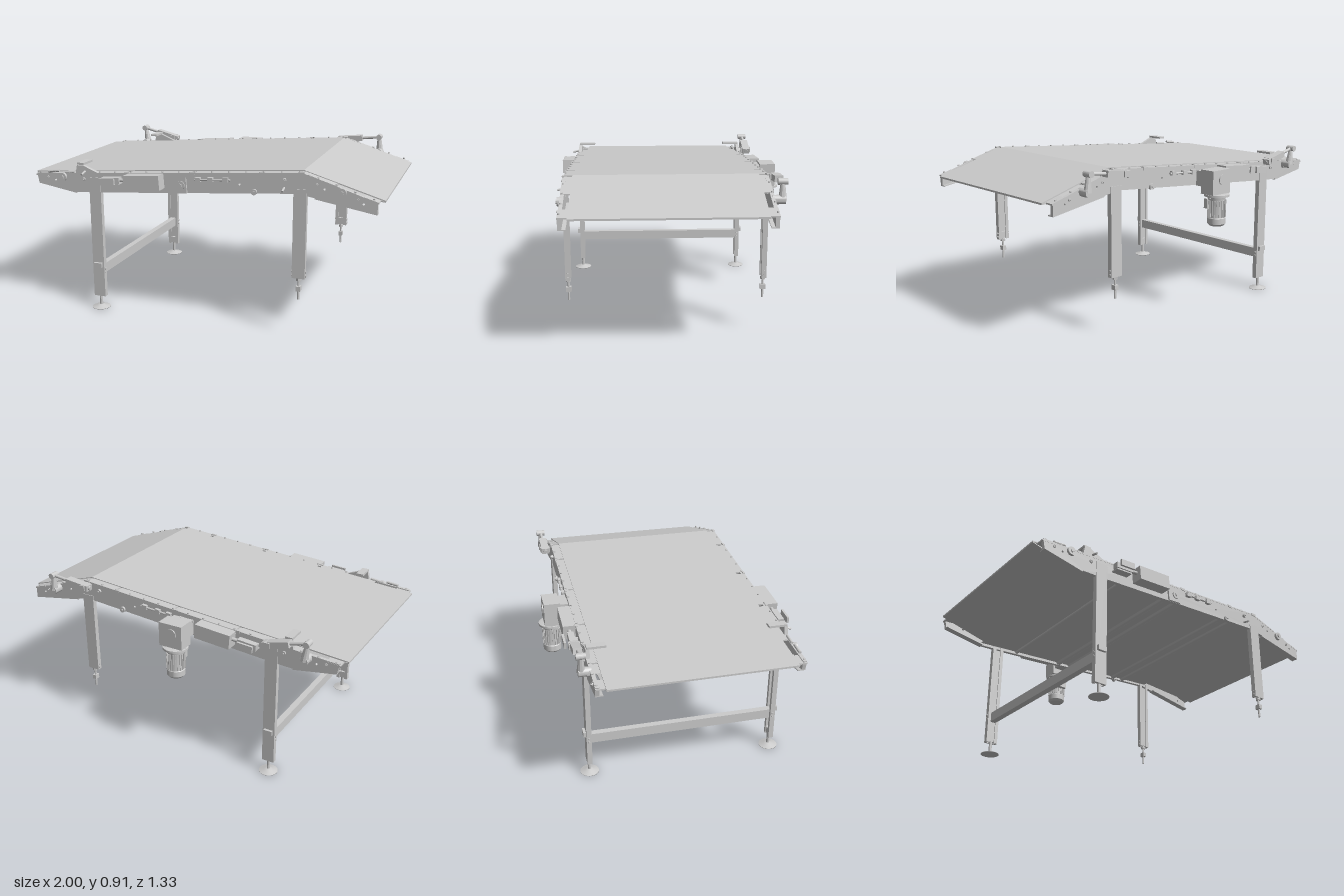
import * as THREE from 'three';
import { toCreasedNormals } from 'three/addons/utils/BufferGeometryUtils.js';

const grey = new THREE.MeshStandardMaterial({ color: 0xcccccc, side: THREE.DoubleSide });
const ZC = 0.038;                 // centre line of the conveyor
const ZF = 0.565, ZB = -0.489;    // front and back side frames
const SLOPE = 0.076;
const top = x => x < 0.58 ? 0.89 + (x - 0.58) * SLOPE : 0.89 - (x - 0.58) * 0.298;

export function createModel() {
  const root = new THREE.Group();
  const add = (name, geo, parent = root) => {
    const m = new THREE.Mesh(geo, grey);
    m.name = name;
    parent.add(m);
    return m;
  };
  const box = (name, w, h, d, x, y, z, rot = 0, parent = root) => {
    const m = add(name, new THREE.BoxGeometry(w, h, d), parent);
    m.position.set(x, y, z);
    m.rotation.z = rot;
    return m;
  };
  // cylinder between two points
  const rod = (name, a, b, r, r2 = r, seg = 20, parent = root) => {
    const A = new THREE.Vector3(...a), B = new THREE.Vector3(...b), d = B.clone().sub(A);
    const g = toCreasedNormals(new THREE.CylinderGeometry(r2, r, d.length(), seg), 0.6);
    const m = add(name, g, parent);
    m.position.copy(A).add(B).multiplyScalar(0.5);
    m.quaternion.setFromUnitVectors(new THREE.Vector3(0, 1, 0), d.normalize());
    return m;
  };
  // side profile in x/y, extruded along z, with optional round holes [x, y, r]
  const profile = (name, pts, z0, z1, holes = []) => {
    const s = new THREE.Shape(pts.map(p => new THREE.Vector2(...p)));
    for (const [x, y, r] of holes) s.holes.push(new THREE.Path().absarc(x, y, r, 0, Math.PI * 2, true));
    const m = add(name, new THREE.ExtrudeGeometry(s, { depth: z1 - z0, bevelEnabled: false, curveSegments: 8 }));
    m.position.z = z0;
    return m;
  };
  // thin sheet following a line in x/y
  const sheet = (name, line, t, z0, z1) =>
    profile(name, [...line, ...line.slice().reverse().map(([x, y]) => [x, y - t])], z0, z1);

  // belt: upper run, returning ends that meet it at the noses, and the wide middle underside
  sheet('beltTop', [[-1, top(-1)], [0.58, top(0.58)], [1, top(1)]], 0.006, -0.45, 0.525);
  sheet('beltReturnOutfeed', [[0.58, 0.793], [1, 0.761]], 0.006, -0.45, 0.525);
  sheet('beltReturnInfeed', [[-1, 0.766], [-0.72, 0.697]], 0.006, -0.45, 0.525);
  sheet('underside', [[-0.72, 0.697], [-0.45, 0.717], [0.58, 0.793]], 0.006, -0.475, 0.553);

  // rollers under the bed
  for (const [x, y, r] of [[0.38, 0.784, 0.023], [0.3, 0.778, 0.023], [-0.06, 0.75, 0.023],
    [-0.15, 0.743, 0.023], [-0.47, 0.708, 0.01]])
    rod('roller', [x, y, -0.48], [x, y, 0.558], r, r, 24);

  // mirrored side frames with everything attached to both sides
  const plate = [[-0.97, 0.77], [-0.96, 0.718], [-0.72, 0.678], [-0.58, 0.686], [0.56, 0.775], [0.97, 0.705],
    [0.97, 0.762], [0.62, 0.876], [0.56, 0.882], [-0.58, 0.796], [-0.67, 0.832], [-0.71, 0.832], [-0.72, 0.786]];
  const holes = [[-0.85, 0.74, 0.006], [-0.45, 0.765, 0.006], [0.25, 0.8, 0.006], [0.7, 0.81, 0.006], [0.9, 0.75, 0.006]];
  for (const [z, s] of [[ZF, 1], [ZB, -1]]) {
    const at = (d) => z + s * d;                       // distance outwards from the frame
    const span = (name, pts, a, b, h) => profile(name, pts, Math.min(at(a), at(b)), Math.max(at(a), at(b)), h);
    span('sideFrame', plate, -0.01, 0.01, holes);
    // folded lips under the sloping frame ends
    for (const [x0, y0, x1, y1] of [[-0.96, 0.718, -0.72, 0.678], [0.65, 0.76, 0.97, 0.705]])
      span('frameLip', [[x0, y0], [x1, y1], [x1, y1 - 0.006], [x0, y0 - 0.006]], -0.03, 0.01);
    // edge strips beside the belt, interrupted by notches
    for (const [a, b] of [[-0.76, -0.412], [-0.388, -0.028], [-0.004, 0.36], [0.38, 0.57], [0.59, 0.76]])
      span('edgeStrip', [[a, top(a) - 0.004], [b, top(b) - 0.004], [b, top(b) - 0.012], [a, top(a) - 0.012]], -0.05, 0.011);
    for (const [a, b] of [[-0.975, -0.9], [0.9, 0.975]])
      span('endStrip', [[a, top(a) - 0.008], [b, top(b) - 0.008], [b, top(b) - 0.016], [a, top(a) - 0.016]], -0.04, 0.011);
    for (let x = -0.95; x < 0.98; x += 0.095)
      rod('stripScrew', [x, top(x) - 0.006, at(0.002)], [x, top(x) + 0.002, at(0.002)], 0.006, 0.006, 8);
    for (const x of [-0.4, -0.016, 0.37, 0.58])
      box('edgeClip', 0.03, 0.014, 0.012, x, top(x) - 0.008, at(0.008));

    // guide bracket over the infeed
    box('guideBracket', 0.042, 0.012, 0.1, -0.69, 0.84, at(-0.045));

    // legs: open channels with levelling feet
    for (const [x, y0] of [[-0.6, 0.07], [0.575, 0.32]]) {
      const y1 = x < 0 ? 0.77 : 0.8, h = y1 - y0, y = (y0 + y1) / 2;
      box('legWeb', 0.07, h, 0.008, x, y, at(0.01));
      for (const e of [-1, 1]) {
        box('legFlange', 0.008, h, 0.026, x + e * 0.031, y, at(0));
        box('legLip', 0.02, h, 0.005, x + e * 0.025, y, at(-0.011));
        for (const dy of [0, 0.022]) {
          const by = (x < 0 ? 0.215 : 0.335) + dy;
          rod('legBolt', [x + e * 0.033, by, at(0)], [x + e * 0.04, by, at(0)], 0.007, 0.007, 6);
        }
      }
      box('legEndBlock', 0.05, 0.04, 0.018, x, y0 + 0.025, at(0));
      if (x < 0) {
        rod('footSpindle', [x, 0.012, z], [x, 0.1, z], 0.009);
        const dish = add('footPad', new THREE.LatheGeometry([[0, 0], [0.052, 0], [0.052, 0.003], [0.025, 0.009],
          [0.014, 0.016], [0, 0.016]].map(p => new THREE.Vector2(...p)), 32));
        dish.position.set(x, 0, z);
      } else {
        rod('footSpindle', [x, 0.2, z], [x, 0.34, z], 0.006);
        box('spindleBlock', 0.024, 0.026, 0.03, x, 0.262, z);
        rod('spindleNut', [x, 0.305, z], [x, 0.32, z], 0.014, 0.014, 6);
      }
    }
    box('beamBracket', 0.05, 0.028, 0.022, -0.6, 0.26, at(0.018));

    // control box and sensor
    const a = Math.atan(SLOPE);
    box('controlBox', 0.21, 0.08, 0.068, -0.285, 0.777, at(0.045), a);
    box('sensorBody', 0.11, 0.032, 0.034, -0.48, 0.772, at(0.045), a);
    box('sensorBracket', 0.1, 0.008, 0.05, -0.48, 0.752, at(0.03), a);
    rod('sensorPlug', [-0.43, 0.775, at(0.045)], [-0.39, 0.778, at(0.045)], 0.01);
    box('sensorGuard', 0.09, 0.036, 0.012, -0.485, 0.772, at(0.088), a);

    // belt tensioner
    rod('tensionScrew', [0, 0.806, at(0.02)], [0.2, 0.82, at(0.02)], 0.006, 0.006, 10);
    for (const x of [0.02, 0.09, 0.175])
      box('tensionBlock', 0.03, 0.024, 0.02, x, 0.807 + x * 0.07, at(0.018), a);

    // bearings, knobs and frame screws
    for (const [x, y, r, d] of [[-0.8, 0.76, 0.024, 0.024], [0.79, 0.8, 0.024, 0.024], [-0.67, 0.755, 0.011, 0.018],
      [0.49, 0.842, 0.011, 0.022], [0.33, 0.766, 0.016, 0.022], [-0.08, 0.77, 0.024, 0.026],
      [-0.9, 0.75, 0.009, 0.015], [0.66, 0.83, 0.009, 0.015], [0.87, 0.77, 0.009, 0.015]]) {
      rod('bearingCap', [x, y, at(0)], [x, y, at(d)], r);
      rod('bearingPin', [x, y, at(0)], [x, y, at(d + 0.006)], r * 0.45, r * 0.45, 6);
    }
    box('driveBearingPlate', 0.085, 0.085, 0.012, -0.09, 0.768, at(0.014), a);
  }

  // cross beam between the long legs
  box('crossBeam', 0.035, 0.055, 1.04, -0.6, 0.2275, ZC);

  // back swing clamps: pivot arm, actuator bar and body
  for (const [px, py, tx, ty, ex, ey] of [[-0.8, 0.765, -0.815, 0.862, -0.57, 0.8], [0.79, 0.8, 0.785, 0.892, 0.52, 0.865]]) {
    const z = -0.54, dx = ex - tx, dy = ey - ty, mid = k => [tx + dx * k, ty + dy * k, z];
    rod('clampArm', [px, py, z], [tx, ty, z], 0.022, 0.011, 10);
    rod('clampPivot', [px, py, ZB], [px, py, z - 0.015], 0.024);
    rod('clampKnuckle', [tx, ty, z - 0.025], [tx, ty, z + 0.025], 0.017);
    rod('clampRod', [tx, ty, z], mid(0.5), 0.009);
    box('clampBody', 0.15, 0.034, 0.046, ...mid(0.68), Math.atan2(dy, dx) + Math.PI);
    rod('clampTail', mid(0.9), [ex, ey, z], 0.012);
    box('clampMount', 0.03, 0.03, 0.06, ...mid(0.85));
  }
  // front handles at the infeed
  for (const x of [-0.9, -0.8])
    rod('clampScrew', [x, 0.782, 0.565], [x + 0.07, 0.79, 0.565], 0.008, 0.008, 10);
  for (const x of [-0.66, 0.49])
    rod('handle', [x, 0.8, 0.575], [x, 0.79, 0.615], 0.006, 0.006, 10);

  // drive: gearbox with a finned motor hanging below
  const drive = new THREE.Group();
  drive.name = 'driveMotor';
  drive.position.set(-0.08, 0, -0.597);
  root.add(drive);
  box('gearbox', 0.14, 0.135, 0.09, 0.007, 0.757, 0.005, 0, drive);
  box('gearboxFlange', 0.12, 0.085, 0.05, 0.007, 0.77, 0.07, 0, drive);
  rod('gearboxShaft', [0, 0.77, -0.046], [0, 0.77, 0.12], 0.03, 0.03, 24, drive);
  add('motorBody', toCreasedNormals(new THREE.LatheGeometry([[0, 0.508], [0.04, 0.508], [0.051, 0.52],
    [0.051, 0.552], [0.048, 0.556], [0.048, 0.655], [0.052, 0.672], [0.07, 0.674], [0.07, 0.686],
    [0.05, 0.69], [0, 0.69]].map(p => new THREE.Vector2(...p)), 32), 0.5), drive);
  for (let i = 0; i < 24; i++) {
    const t = i / 24 * Math.PI * 2;
    const fin = box('coolingFin', 0.01, 0.095, 0.004, Math.cos(t) * 0.048, 0.606, Math.sin(t) * 0.048, 0, drive);
    fin.rotation.y = -t;
  }
  box('terminalBox', 0.055, 0.055, 0.03, 0, 0.625, 0.056, 0, drive);
  for (const e of [-1, 1])
    rod('flangeBolt', [e * 0.058, 0.664, 0], [e * 0.058, 0.69, 0], 0.007, 0.007, 6, drive);

  return root;
}
